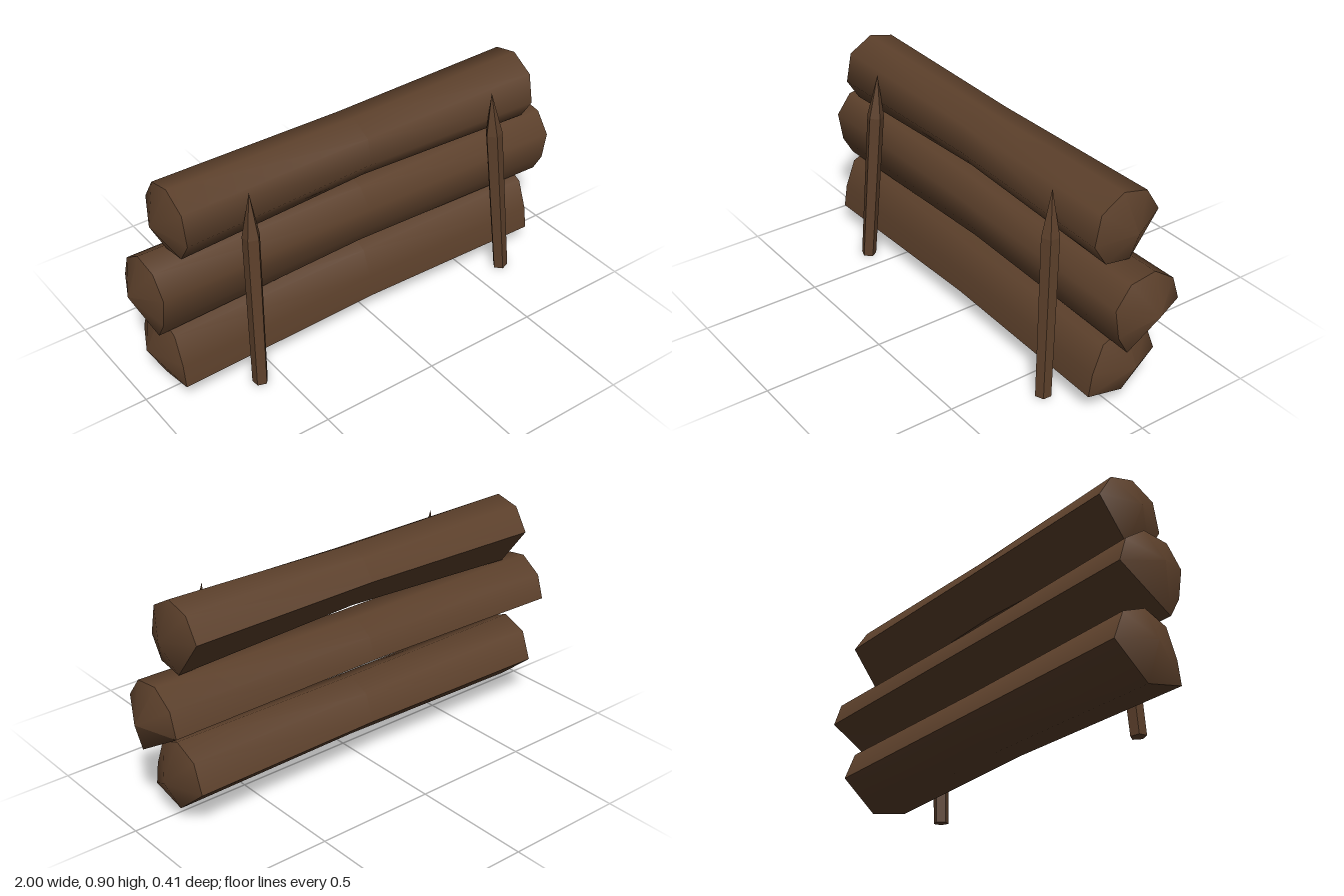
import * as THREE from 'three';
import { toCreasedNormals } from 'three/addons/utils/BufferGeometryUtils.js';

const wood = new THREE.MeshStandardMaterial({ color: 0x5c402b });
const stakeWood = new THREE.MeshStandardMaterial({ color: 0x5c402b, flatShading: true });

// Each log: seven-sided [z, y] outline, pointed ends at x[0] and x[3],
// shoulders at x[1] and x[2], waist = [height scale, height it shrinks towards]
const LOGS = [
  {
    name: 'bottomLog', x: [-0.95, -0.88, 0.825, 0.895], tip: [-0.05, 0.19], waist: [0.93, 0.264],
    outline: [[-0.045, 0.338], [-0.15, 0.295], [-0.195, 0.178], [-0.045, 0.05], [0.115, 0.085], [0.1, 0.18], [0.055, 0.295]],
  },
  {
    name: 'middleLog', x: [-1, -0.93, 0.925, 1], tip: [-0.05, 0.475], waist: [0.885, 0.527],
    outline: [[0.03, 0.6], [-0.08, 0.615], [-0.17, 0.553], [-0.202, 0.455], [0.03, 0.31], [0.075, 0.39], [0.095, 0.515]],
  },
  {
    name: 'topLog', x: [-0.89, -0.82, 0.81, 0.875], tip: [-0.04, 0.755], waist: [0.835, 0.827],
    outline: [[-0.02, 0.9], [-0.125, 0.875], [-0.185, 0.78], [-0.06, 0.615], [0.05, 0.632], [0.105, 0.72], [0.08, 0.843]],
  },
];

function makeLog({ name, x, tip, waist, outline }) {
  const n = outline.length;
  const point = outline.map(() => tip);
  const narrow = outline.map(([z, y]) => [
    tip[0] + (z - tip[0]) * 0.94,
    waist[1] + (y - waist[1]) * waist[0],
  ]);
  // Cross-sections from the right tip to the left tip
  const rings = [[x[0], point], [x[1], outline], [0, narrow], [x[2], outline], [x[3], point]];
  const positions = [];
  const indices = [];
  rings.forEach(([px, ring], i) => {
    ring.forEach(([z, y]) => positions.push(px, y, z));
    if (i === rings.length - 1) return;
    for (let j = 0; j < n; j++) {
      const a = i * n + j;
      const b = i * n + (j + 1) % n;
      const c = a + n;
      const d = b + n;
      if (i > 0) indices.push(a, c, b);
      if (i < rings.length - 2) indices.push(b, c, d);
    }
  });
  const geometry = new THREE.BufferGeometry();
  geometry.setAttribute('position', new THREE.Float32BufferAttribute(positions, 3));
  geometry.setIndex(indices);
  const log = new THREE.Mesh(toCreasedNormals(geometry, 0.95), wood);
  log.name = name;
  return log;
}

// Sharpened five-sided stake leaning from its base to its tip
function makeStake(name, base, tip, turn) {
  const axis = tip.clone().sub(base);
  const length = axis.length();
  const profile = [[0, 0], [0.032, 0], [0.036, length * 0.78], [0, length]]
    .map(([r, y]) => new THREE.Vector2(r, y));
  const geometry = new THREE.LatheGeometry(profile, 5);
  geometry.rotateY(turn);
  const stake = new THREE.Mesh(geometry, stakeWood);
  stake.quaternion.setFromUnitVectors(new THREE.Vector3(0, 1, 0), axis.normalize());
  stake.position.copy(base);
  stake.name = name;
  return stake;
}

export function createModel() {
  const model = new THREE.Group();
  model.name = 'logBarrier';
  LOGS.forEach((log) => model.add(makeLog(log)));
  model.add(
    makeStake('rightStake', new THREE.Vector3(-0.59, 0.003, 0.174), new THREE.Vector3(-0.56, 0.853, 0.112), 0.3),
    makeStake('leftStake', new THREE.Vector3(0.635, 0.003, 0.174), new THREE.Vector3(0.58, 0.853, 0.112), -0.3),
  );
  return model;
}
